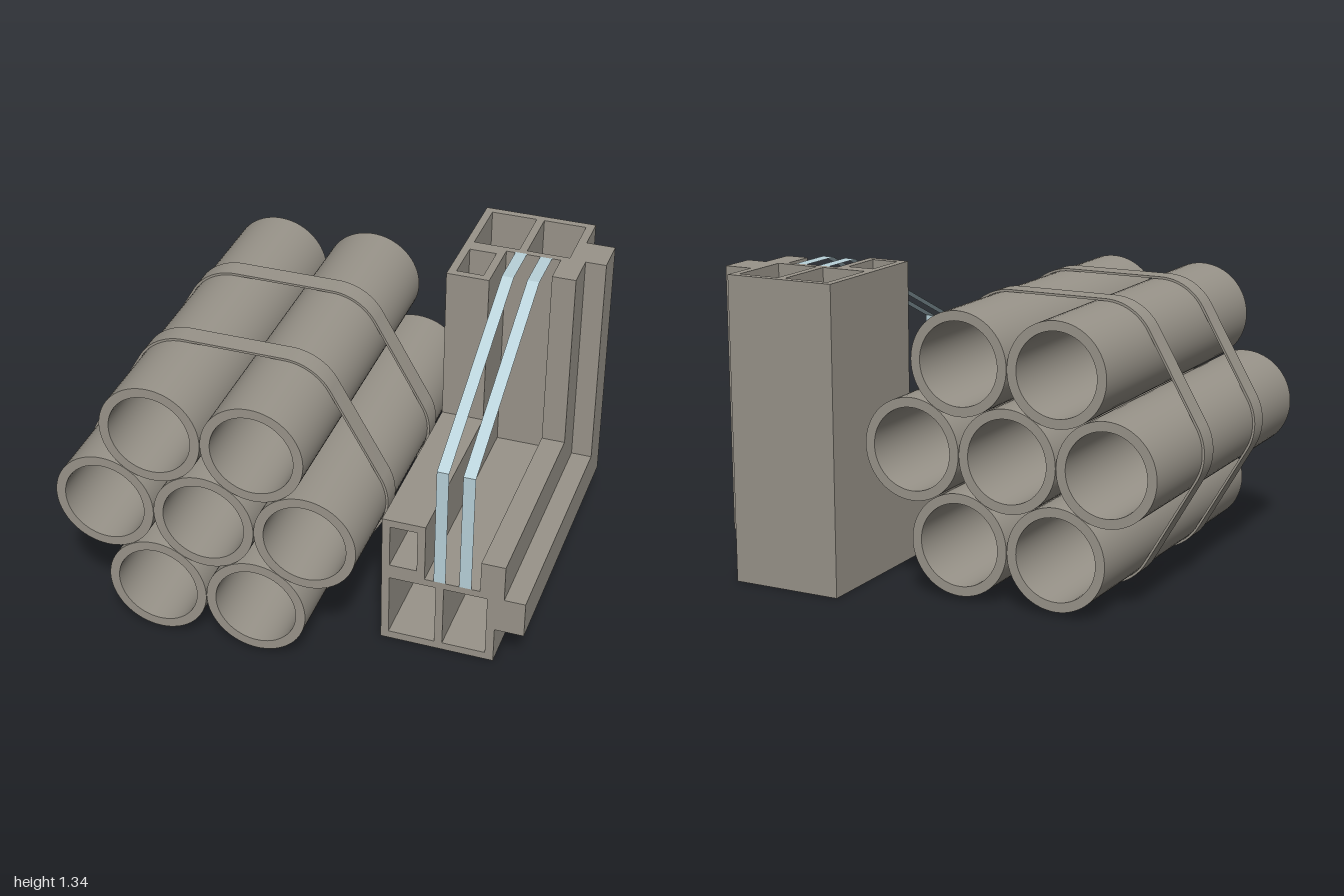
import * as THREE from 'three';
import { toCreasedNormals } from 'three/addons/utils/BufferGeometryUtils.js';

const PIPE_R = 0.222, BORE_R = 0.18, PITCH = 0.446;
const CX = -0.32, CY = 0.627;
const BACK = -0.87, FRONT = 0.6, TOP = 1.34;

// Outline around a hexagon of circles: six arcs joined by straight runs
function hullPath(path, r) {
  for (let i = 0; i < 6; i++) {
    const a = (i * Math.PI) / 3;
    path.absarc(CX + PITCH * Math.cos(a), CY + PITCH * Math.sin(a), r, a - Math.PI / 6, a + Math.PI / 6, false);
  }
  path.closePath();
  return path;
}

function rectHole(x0, y0, x1, y1) {
  return new THREE.Path([[x0, y0], [x1, y0], [x1, y1], [x0, y1]].map(p => new THREE.Vector2(...p)));
}

// Frame section: x across, y is the depth measured from the outer edge
function frameProfile() {
  const s = new THREE.Shape([
    [0.37, 0], [0.872, 0], [0.872, 0.17], [1, 0.17], [1, 0.337], [0.908, 0.337],
    [0.908, 0.505], [0.803, 0.505], [0.803, 0.357], [0.56, 0.357], [0.56, 0.627], [0.37, 0.627],
  ].map(p => new THREE.Vector2(...p)));
  s.holes.push(
    rectHole(0.405, 0.035, 0.61, 0.325),
    rectHole(0.645, 0.035, 0.835, 0.325),
    rectHole(0.405, 0.393, 0.525, 0.592),
  );
  return s;
}

// Extrude the section and move each vertex to its place on a mitred leg
function mitredLeg(place) {
  const g = new THREE.ExtrudeGeometry(frameProfile(), { depth: 1, bevelEnabled: false });
  const p = g.attributes.position;
  for (let i = 0; i < p.count; i++) p.setXYZ(i, ...place(p.getX(i), p.getY(i), p.getZ(i)));
  g.computeVertexNormals();
  return g;
}

export function createModel() {
  const model = new THREE.Group();
  const grey = new THREE.MeshStandardMaterial({ color: 0x99948a });
  grey.name = 'warmGrey';
  const blue = new THREE.MeshStandardMaterial({ color: 0xb8d1d9, side: THREE.DoubleSide });
  blue.name = 'paleGlass';

  const add = (name, geometry, material, parent = model) => {
    const m = new THREE.Mesh(geometry, material);
    m.name = name;
    parent.add(m);
    return m;
  };
  const addGroup = name => {
    const g = new THREE.Group();
    g.name = name;
    model.add(g);
    return g;
  };

  // Seven hollow pipes
  const pipes = addGroup('pipeBundle');
  const z0 = -0.65, z1 = 0.87;
  const section = [[PIPE_R, z0], [PIPE_R, z1], [BORE_R, z1], [BORE_R, z0], [PIPE_R, z0]];
  const pipeGeo = toCreasedNormals(
    new THREE.LatheGeometry(section.map(p => new THREE.Vector2(...p)), 64).rotateX(Math.PI / 2), 0.6);
  add('centrePipe', pipeGeo, grey, pipes).position.set(CX, CY, 0);
  for (let i = 0; i < 6; i++) {
    const a = (i * Math.PI) / 3;
    add('outerPipe', pipeGeo, grey, pipes).position.set(CX + PITCH * Math.cos(a), CY + PITCH * Math.sin(a), 0);
  }

  // Two straps around the pipes
  const strapShape = hullPath(new THREE.Shape(), 0.233);
  strapShape.holes.push(hullPath(new THREE.Path(), PIPE_R + 0.001));
  const strapGeo = toCreasedNormals(
    new THREE.ExtrudeGeometry(strapShape, { depth: 0.097, bevelEnabled: false, curveSegments: 12 }), 0.6);
  for (const z of [0.39, -0.187]) add('strap', strapGeo, grey).position.z = z;

  // Window frame corner: sill and jamb meeting at a mitre
  const frame = addGroup('windowFrame');
  const lerp = THREE.MathUtils.lerp;
  add('sill', mitredLeg((x, d, t) => [x, d, lerp(BACK + d, FRONT, t)]), grey, frame);
  add('jamb', mitredLeg((x, d, t) => [x, lerp(TOP, d, t), BACK + d]), grey, frame);

  // Cut edges of the two clear panes: front, slope and top
  const edge = [[0.357, FRONT], [0.92, FRONT], [TOP, -0.3], [TOP, BACK + 0.352]];
  for (const [x0, x1] of [[0.6, 0.652], [0.712, 0.765]]) {
    const verts = [];
    for (let i = 0; i < edge.length - 1; i++) {
      const [ya, za] = edge[i], [yb, zb] = edge[i + 1];
      verts.push(x0, ya, za, x1, ya, za, x1, yb, zb, x0, ya, za, x1, yb, zb, x0, yb, zb);
    }
    const g = new THREE.BufferGeometry();
    g.setAttribute('position', new THREE.Float32BufferAttribute(verts, 3));
    g.computeVertexNormals();
    add('glassEdge', g, blue);
  }
  return model;
}
